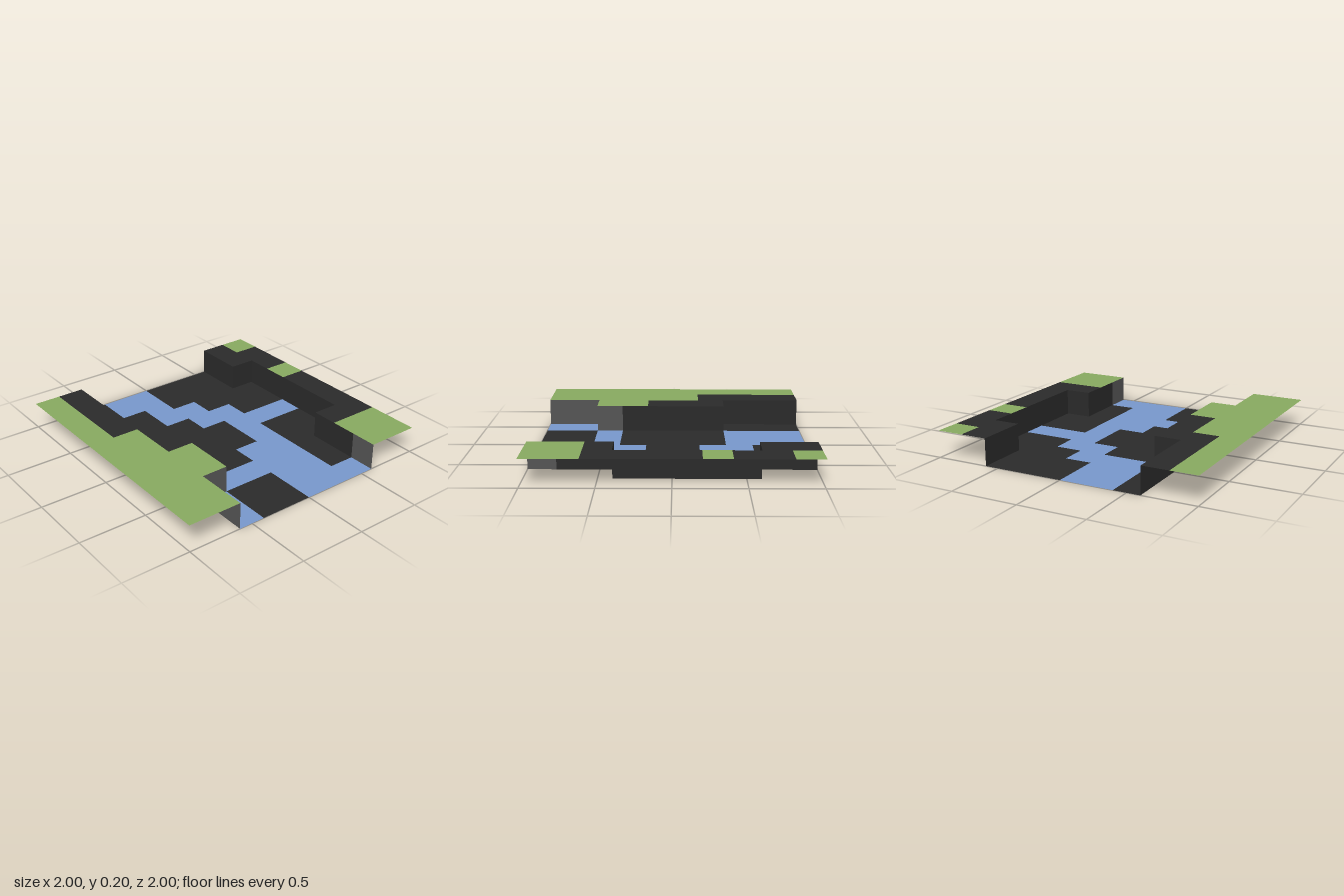
import * as THREE from 'three';
import { mergeGeometries } from 'three/addons/utils/BufferGeometryUtils.js';

const TILE = 0.2;
const HIGH = 0.2;

// Tile map, back row first. g: grass, w: water, d: dark earth; capitals lie on the raised banks.
const MAP = [
  'GDDGDDDDGG',
  'DDddwddDGG',
  'ddddwddddw',
  'dddwwwwwww',
  'ddwwddwwww',
  'wwwddddwdd',
  'wwwddddwdd',
  'dddDDDGGww',
  'DDDDGGGGGG',
  'GGGGGGGGGG',
];

// Bank walls as [x0, z0, x1, z1], with the low ground on the right of the run seen from above
const DARK_WALLS = [
  [-0.6, -0.6, -1, -0.6], [-0.6, -0.8, -0.6, -0.6], [0.4, -0.8, -0.6, -0.8],
  [0.4, -0.6, 0.4, -0.8], [0.8, -0.6, 0.4, -0.6],
  [-1, 0.6, -0.4, 0.6], [-0.4, 0.6, -0.4, 0.4], [-0.4, 0.4, 0.4, 0.4],
];
const STONE_WALLS = [
  [1, -0.6, 0.8, -0.6],
  [0.4, 0.4, 0.6, 0.4], [0.6, 0.4, 0.6, 0.6], [0.6, 0.6, 1, 0.6],
];

// All tiles with one letter, each run in a row joined into one flat strip
function ground(letter, y) {
  const strips = [];
  MAP.forEach((row, r) => {
    for (const run of row.matchAll(new RegExp(letter + '+', 'g'))) {
      const n = run[0].length;
      strips.push(new THREE.PlaneGeometry(n * TILE, TILE)
        .rotateX(-Math.PI / 2)
        .translate(-1 + (run.index + n / 2) * TILE, y, -1 + (r + 0.5) * TILE));
    }
  });
  return mergeGeometries(strips);
}

// Upright panels along the listed runs
function walls(runs) {
  return mergeGeometries(runs.map(([x0, z0, x1, z1]) =>
    new THREE.PlaneGeometry(Math.hypot(x1 - x0, z1 - z0), HIGH)
      .rotateY(Math.atan2(z1 - z0, x0 - x1))
      .translate((x0 + x1) / 2, HIGH / 2, (z0 + z1) / 2)));
}

export function createModel() {
  const group = new THREE.Group();
  group.name = 'riverValley';

  const material = (color) => new THREE.MeshStandardMaterial({ color, side: THREE.DoubleSide });
  const grass = material(0x88aa60);
  const water = material(0x7898cc);
  const earth = material(0x2a2a2a);
  const stone = material(0x555555);

  const add = (name, geometry, mat) => {
    const mesh = new THREE.Mesh(geometry, mat);
    mesh.name = name;
    group.add(mesh);
  };

  // Raised banks
  add('bankGrass', ground('G', HIGH), grass);
  add('bankEarth', ground('D', HIGH), earth);

  // Valley floor
  add('riverWater', ground('w', 0), water);
  add('valleyEarth', ground('d', 0), earth);

  // Steps between the two levels
  add('earthWalls', walls(DARK_WALLS), earth);
  add('stoneWalls', walls(STONE_WALLS), stone);

  return group;
}
